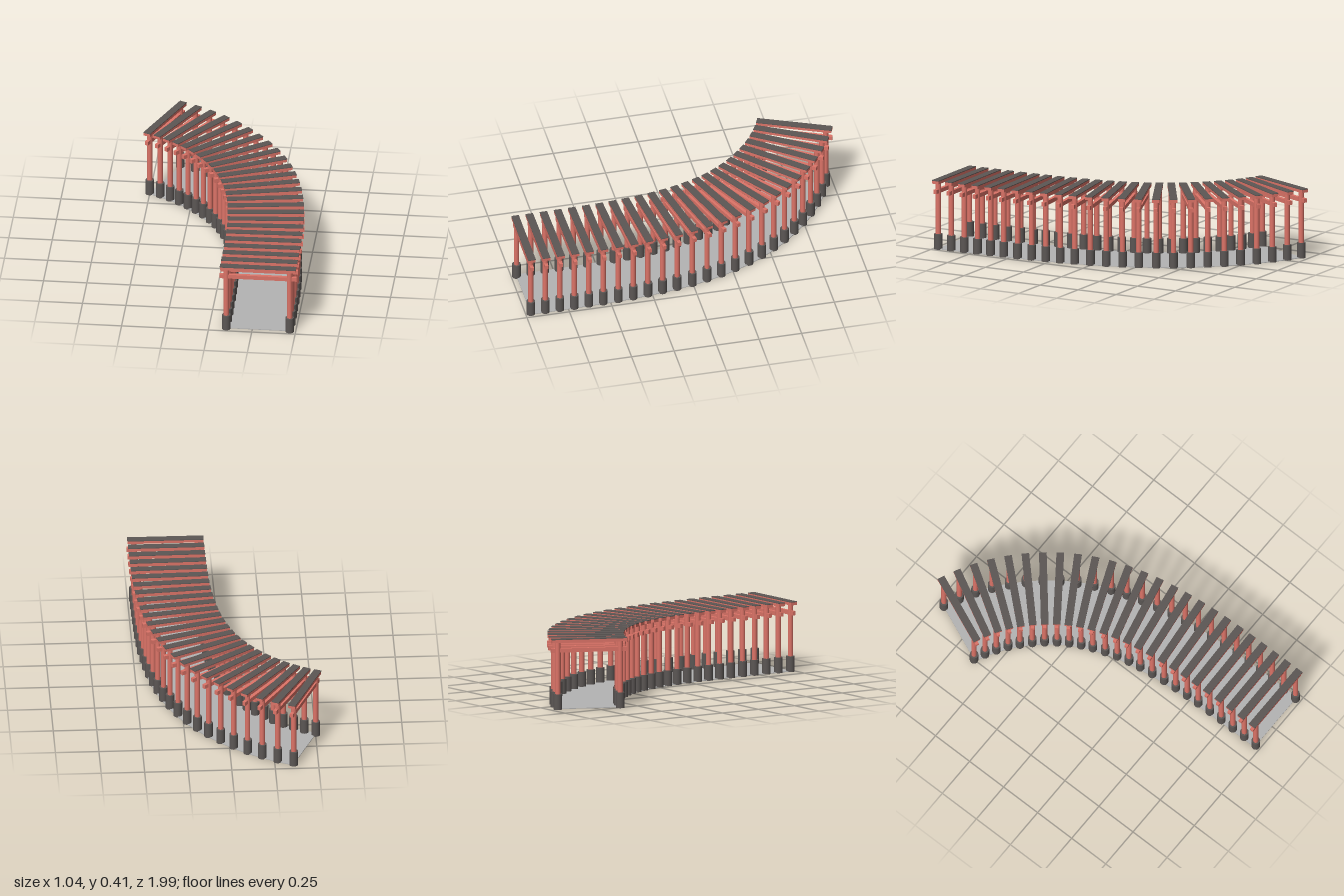
import * as THREE from 'three';

const GATES = 25;
const STEP = 0.0845;

const red = new THREE.MeshStandardMaterial({ color: 0xdd7468 });
const dark = new THREE.MeshStandardMaterial({ color: 0x5c5755 });
const stone = new THREE.MeshStandardMaterial({ color: 0xb4b4b4 });

// Heading of the path (degrees) at a few gate numbers, eased between them
const HEADINGS = [[0, 0], [5, 1.5], [10, 9], [14, 22], [17, 36], [20, 48.5], [24, 67]];

function heading(i) {
  let k = 0;
  while (k < HEADINGS.length - 2 && i > HEADINGS[k + 1][0]) k++;
  const [i0, a0] = HEADINGS[k];
  const [i1, a1] = HEADINGS[k + 1];
  return THREE.MathUtils.degToRad(a0 + (a1 - a0) * (i - i0) / (i1 - i0));
}

// Walk along the path from the front end to the back end
function makePath() {
  const path = [];
  let x = 0.283, z = 0.97;
  for (let i = 0; i < GATES; i++) {
    path.push({ x, z, angle: heading(i) });
    const mid = heading(i + 0.5);
    x -= Math.sin(mid) * STEP;
    z -= Math.cos(mid) * STEP;
  }
  return path;
}

function add(parent, name, geometry, material, x, y) {
  const mesh = new THREE.Mesh(geometry, material);
  mesh.name = name;
  mesh.position.set(x, y, 0);
  parent.add(mesh);
}

// Geometries shared by all gates
const parts = {
  base: new THREE.CylinderGeometry(0.025, 0.025, 0.09, 16),
  post: new THREE.CylinderGeometry(0.0155, 0.0155, 0.3, 16),
  tieBeam: new THREE.BoxGeometry(0.444, 0.024, 0.02),
  lintel: new THREE.BoxGeometry(0.436, 0.017, 0.042),
  cap: new THREE.BoxGeometry(0.438, 0.004, 0.044),
};

function makeGate() {
  const gate = new THREE.Group();
  gate.name = 'gate';
  for (const side of [-1, 1]) {
    add(gate, 'postBase', parts.base, dark, side * 0.1825, 0.045);
    add(gate, 'post', parts.post, red, side * 0.1825, 0.239);
  }
  add(gate, 'tieBeam', parts.tieBeam, red, 0, 0.342);
  add(gate, 'lintel', parts.lintel, red, 0, 0.3965);
  add(gate, 'lintelCap', parts.cap, dark, 0, 0.407);
  return gate;
}

// Thin paved slab, bent to follow the path
function makeWalkway(path) {
  const geometry = new THREE.BoxGeometry(0.39, 0.004, 1, 4, 1, GATES - 1);
  const pos = geometry.attributes.position;
  for (let i = 0; i < pos.count; i++) {
    const p = path[Math.round((0.5 - pos.getZ(i)) * (GATES - 1))];
    const across = pos.getX(i);
    pos.setX(i, p.x + across * Math.cos(p.angle));
    pos.setZ(i, p.z - across * Math.sin(p.angle));
  }
  geometry.computeVertexNormals();
  return geometry;
}

export function createModel() {
  const model = new THREE.Group();
  model.name = 'gateTunnel';
  const path = makePath();

  add(model, 'walkway', makeWalkway(path), stone, 0, 0.003);

  for (const p of path) {
    const gate = makeGate();
    gate.position.set(p.x, 0, p.z);
    gate.rotation.y = p.angle;
    model.add(gate);
  }
  return model;
}
